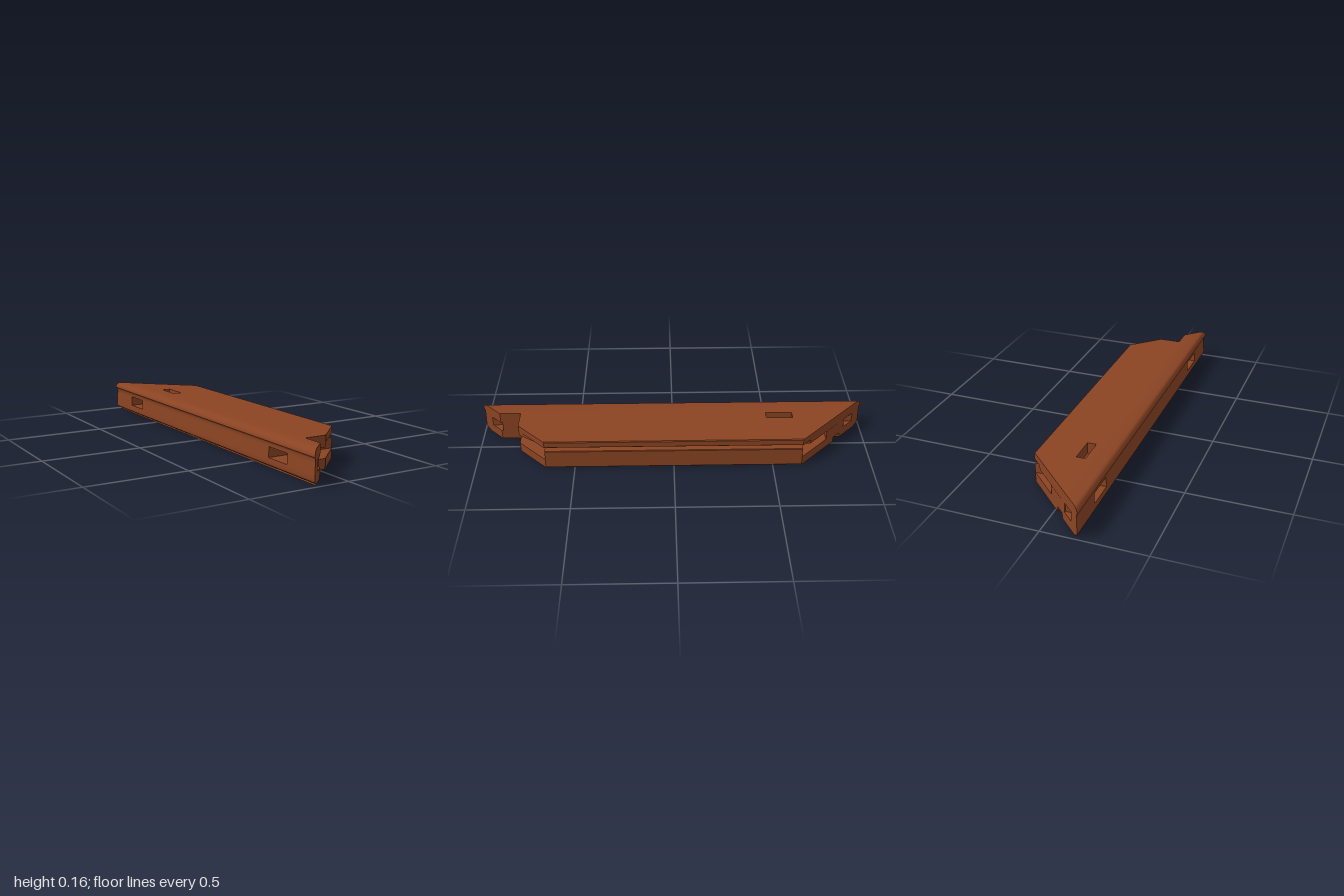
import * as THREE from 'three';
import { toCreasedNormals } from 'three/addons/utils/BufferGeometryUtils.js';

const H = 0.157;              // beam height
const LOW = 0.05, MID = 0.1;  // mortise floor and ceiling
const IN = 0.647, OUT = 0.79; // mortise extent along the beam
const XA = -0.077, XB = 0.035; // x limits of the square shoulder

const mitre = (x) => 0.823 - 0.98 * x;
const backMitre = (x) => -mitre(x);
const wedge = (x) => OUT - (x - XB) * 1.4;

export function createModel() {
  const root = new THREE.Group();
  const wood = new THREE.MeshStandardMaterial({ color: 0x8b4423 });
  wood.name = 'brown wood';

  // Extrudes an x-y profile along z, with ends cut as functions of x
  function prism(name, pts, z0, z1) {
    const at = (f, x) => (typeof f === 'function' ? f(x) : f);
    const shape = new THREE.Shape(pts.map(([x, y]) => new THREE.Vector2(x, y)));
    const geo = new THREE.ExtrudeGeometry(shape, { depth: 1, bevelEnabled: false });
    const p = geo.attributes.position;
    for (let i = 0; i < p.count; i++) {
      const x = p.getX(i), a = at(z0, x), b = at(z1, x);
      p.setZ(i, a + (b - a) * p.getZ(i));
    }
    const mesh = new THREE.Mesh(toCreasedNormals(geo, 0.65), wood);
    mesh.name = name;
    root.add(mesh);
  }
  const rect = (x0, x1, y0, y1) => [[x0, y0], [x1, y0], [x1, y1], [x0, y1]];

  // Moulded edge, below and above the mortises
  prism('lowerMoulding', [[XA, 0], [XA, LOW], [-0.174, LOW], [-0.176, 0.024],
    [-0.174, 0.017], [-0.168, 0.012], [-0.158, 0.009], [-0.155, 0.005], [-0.159, 0]], backMitre, mitre);
  prism('upperMoulding', [[XA, MID], [XA, H], [-0.157, H], [-0.165, 0.154], [-0.172, 0.149],
    [-0.177, 0.141], [-0.18, 0.13], [-0.18, 0.127], [-0.175, 0.122], [-0.172, 0.115],
    [-0.172, MID]], backMitre, mitre);

  // Middle layer: gaps between the blocks form mortises and end pockets
  const edge = [[-0.174, LOW], [-0.13, LOW], [-0.13, MID], [-0.172, MID]];
  const inner = rect(-0.13, XA, LOW, MID);
  prism('middleCore', [[-0.174, LOW], [0.18, LOW], [0.18, 0.097], [0.177, MID], [-0.172, MID]], -IN, IN);
  prism('backTipEdge', edge, backMitre, -OUT);
  prism('frontTipEdge', edge, OUT, mitre);
  prism('backTipCore', inner, -0.89, -OUT);
  prism('frontTipCore', inner, OUT, 0.89);
  prism('backShoulder', rect(XA, XB, LOW, MID), backMitre, -OUT);

  // Lower layer with a groove along the underside
  prism('lowerShoulder', [[XA, 0], [-0.058, 0], [-0.055, 0.003], [-0.055, 0.027], [-0.015, 0.027],
    [-0.015, 0.003], [-0.012, 0], [XB, 0], [XB, LOW], [XA, LOW]], backMitre, OUT);
  prism('lowerEdge', [[XB, 0], [0.176, 0], [0.18, 0.004], [0.18, LOW], [XB, LOW]], backMitre, mitre);

  // Upper layer around the blind peg hole
  const h0 = -0.06, h1 = -0.015;
  prism('upperShoulderLeft', rect(h1, XB, MID, H), backMitre, OUT);
  prism('upperShoulderRight', rect(XA, h0, MID, H), backMitre, OUT);
  prism('pegHoleBack', rect(h0, h1, MID, H), backMitre, -0.615);
  prism('pegHoleFront', rect(h0, h1, MID, H), -0.48, OUT);

  // Upper lip overhanging the side groove
  prism('grooveWall', rect(XB, 0.135, MID, 0.122), backMitre, wedge);
  prism('upperLip', [[XB, 0.122], [0.177, 0.122], [0.18, 0.125], [0.18, 0.153],
    [0.176, H], [XB, H]], backMitre, mitre);

  return root;
}
